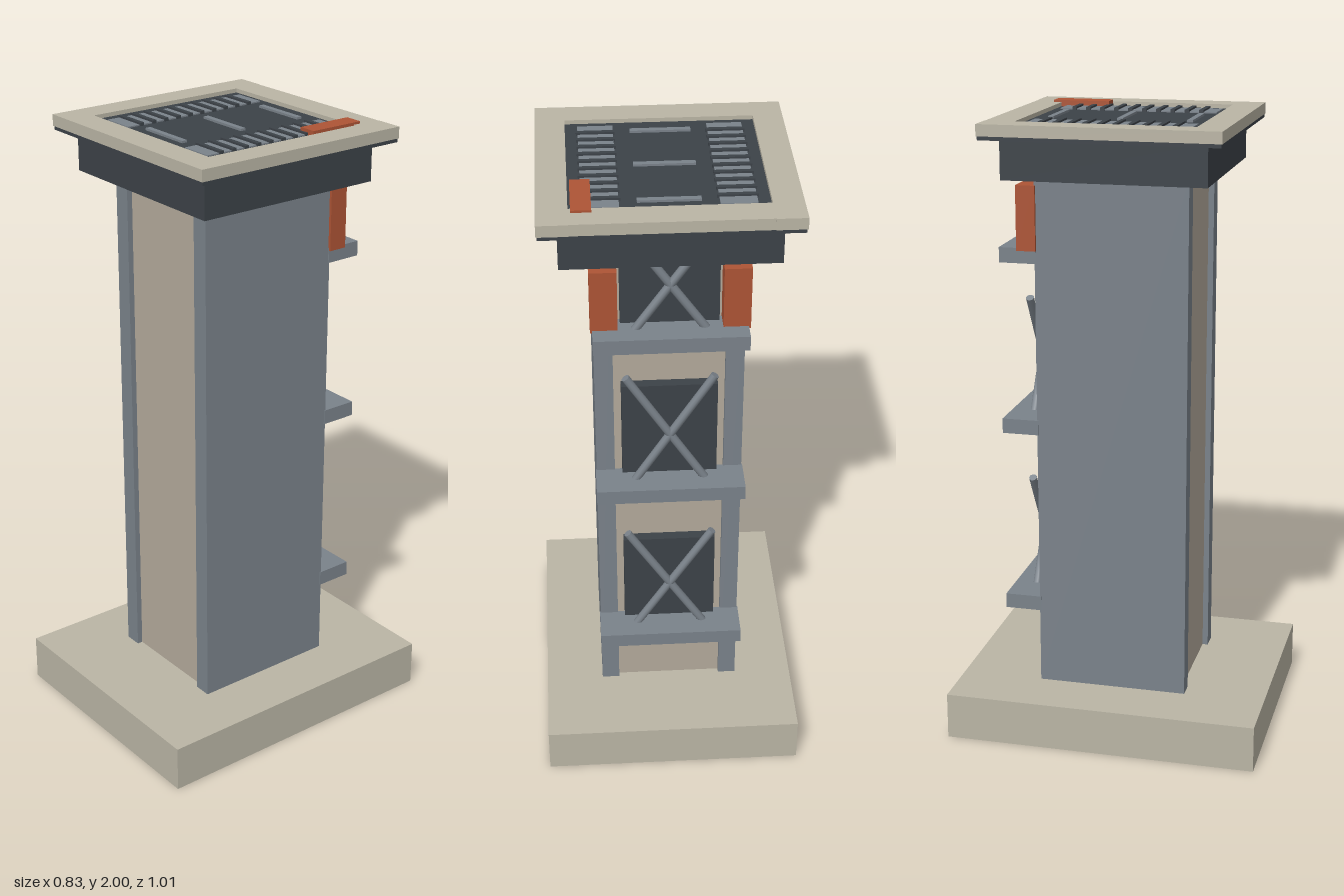
import * as THREE from 'three';

const material = (color) => new THREE.MeshStandardMaterial({ color });

export function createModel() {
  const model = new THREE.Group();
  model.name = 'serviceTower';
  const stone = material(0xbab5a5);
  const wall = material(0xb3aa9b);
  const steel = material(0x7a828a);
  const dark = material(0x3c4248);
  const rust = material(0xad5435);

  // Box given by its minimum and maximum on each axis
  const box = (name, mat, [x0, x1], [y0, y1], [z0, z1], parent = model) => {
    const mesh = new THREE.Mesh(new THREE.BoxGeometry(x1 - x0, y1 - y0, z1 - z0), mat);
    mesh.position.set((x0 + x1) / 2, (y0 + y1) / 2, (z0 + z1) / 2);
    mesh.name = name;
    parent.add(mesh);
    return mesh;
  };
  const mirrored = (s, a, b) => (s > 0 ? [a, b] : [-b, -a]);

  // Plinth and shaft: recessed wall between two steel sides
  box('base', stone, [-0.415, 0.415], [0, 0.15], [-0.505, 0.505]);
  box('shaftWall', wall, [-0.175, 0.175], [0.15, 1.83], [-0.225, 0.225]);
  for (const s of [-1, 1]) {
    box('shaftSide', steel, mirrored(s, 0.17, 0.227), [0.15, 1.83], [-0.241, 0.243]);
  }

  // Collar and the thin dark plate under the cap
  box('collar', dark, [-0.321, 0.321], [1.82, 1.95], [-0.317, 0.317]);
  box('capUnderside', dark, [-0.376, 0.376], [1.945, 1.957], [-0.368, 0.366]);

  // Cap frame around a shallow dark inset
  const cap = new THREE.Group();
  cap.name = 'cap';
  model.add(cap);
  for (const s of [-1, 1]) {
    box('capSide', stone, mirrored(s, 0.288, 0.379), [1.957, 1.993], [-0.371, 0.369], cap);
    box('capEnd', stone, [-0.288, 0.288], [1.957, 1.993], mirrored(s, 0.277, 0.369), cap);
  }
  box('insetPlate', dark, [-0.289, 0.289], [1.955, 1.98], [-0.279, 0.279], cap);

  // Two vent grilles with crossing slats
  for (const s of [-1, 1]) {
    box('ventPlate', steel, mirrored(s, 0.143, 0.25), [1.978, 1.984], [-0.258, 0.252], cap);
    for (let i = 0; i < 10; i++) {
      const z = -0.21 + i * 0.0459;
      box('ventSlat', dark, mirrored(s, 0.138, 0.255), [1.978, 1.99], [z - 0.007, z + 0.007], cap);
    }
  }
  for (const z of [-0.222, -0.003, 0.215]) {
    box('insetRib', steel, [-0.092, 0.092], [1.978, 1.987], [z - 0.009, z + 0.009], cap);
  }
  box('topMarker', rust, [0.222, 0.281], [1.978, 2], [-0.302, -0.118], cap);

  // Rear bays: ledge, dark panel and crossed rods
  [0.421, 1.021, 1.574].forEach((y, i) => {
    const bay = new THREE.Group();
    bay.name = 'rearBay';
    model.add(bay);
    box('ledge', steel, [-0.23, 0.23], [y - 0.024, y + 0.024], [-0.355, -0.236], bay);
    box('rearPanel', dark, [-0.147, 0.147], [y + 0.02, i < 2 ? y + 0.348 : 1.83], [-0.258, -0.22], bay);
    for (const s of [-1, 1]) {
      const top = i < 2 ? 0.4 : 0.36;
      const span = new THREE.Vector3(s * 0.27, top + 0.025, 0);
      const rod = new THREE.Mesh(new THREE.CylinderGeometry(0.013, 0.013, span.length(), 10), steel);
      rod.quaternion.setFromUnitVectors(new THREE.Vector3(0, 1, 0), span.normalize());
      rod.position.set(0, y + (top - 0.025) / 2, -0.286);
      rod.name = 'crossRod';
      bay.add(rod);
    }
  });

  // Rust-coloured blocks beside the top bay
  for (const s of [-1, 1]) {
    box('cornerBlock', rust, mirrored(s, 0.155, 0.236), [1.59, 1.793], [-0.297, -0.236]);
  }
  return model;
}
